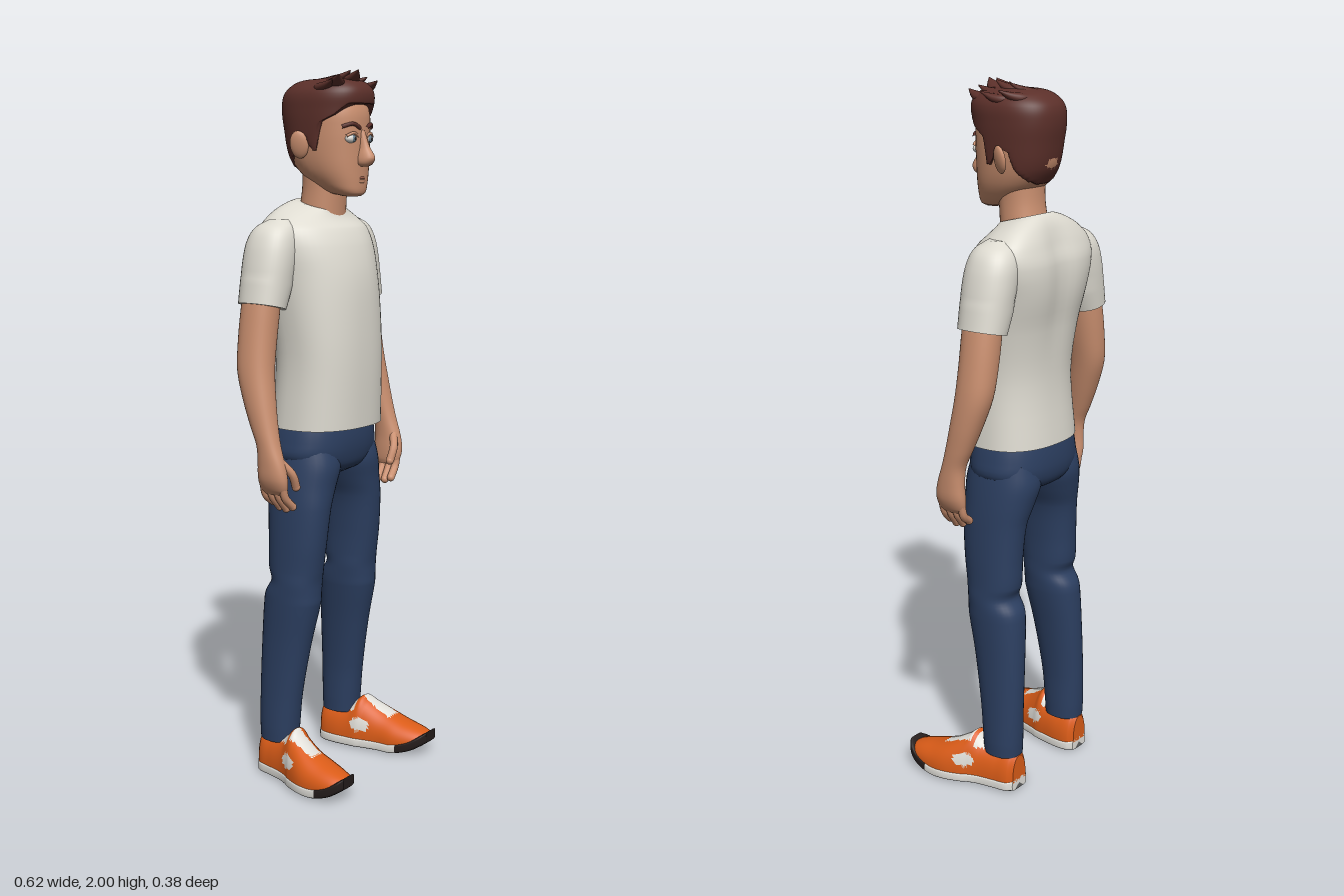
import * as THREE from 'three';

const mat = (name, color) => {
  const m = new THREE.MeshStandardMaterial({ color });
  m.name = name;
  return m;
};

// Lofts ellipse-like sections [along, cx, c2, rx, r2], listed in ascending order along 'y' or 'z'.
// warp moves each vertex, paint picks a material index per face.
function loft(rows, { n = 2.2, segs = 36, steps = 4, axis = 'y', warp, paint } = {}) {
  const slope = (i, k) => {
    const a = rows[Math.max(i - 1, 0)], b = rows[Math.min(i + 1, rows.length - 1)];
    return (b[k] - a[k]) / (b[0] - a[0]);
  };
  const rings = [];
  const addRing = (r) => {
    const ring = [];
    for (let j = 0; j < segs; j++) {
      const t = (j / segs) * Math.PI * 2, c = Math.cos(t), s = Math.sin(t);
      const u = r[1] + r[3] * Math.sign(c) * Math.abs(c) ** (2 / n);
      const w = r[4] * Math.sign(s) * Math.abs(s) ** (2 / n);
      const v = axis === 'y' ? new THREE.Vector3(u, r[0], r[2] + w) : new THREE.Vector3(u, r[2] - w, r[0]);
      if (warp) warp(v);
      ring.push(v);
    }
    rings.push(ring);
  };
  for (let i = 0; i < rows.length - 1; i++) {
    const p = rows[i], q = rows[i + 1], d = q[0] - p[0];
    for (let s = 0; s < steps; s++) {
      const t = s / steps, t2 = t * t, t3 = t2 * t;
      addRing(p.map((a, k) => (2 * t3 - 3 * t2 + 1) * a + (3 * t2 - 2 * t3) * q[k]
        + (t3 - 2 * t2 + t) * d * slope(i, k) + (t3 - t2) * d * slope(i + 1, k)));
    }
  }
  addRing(rows[rows.length - 1]);

  const verts = rings.flat(), buckets = [];
  const tri = (...f) => {
    const mid = new THREE.Vector3();
    f.forEach((i) => mid.addScaledVector(verts[i], 1 / 3));
    (buckets[paint ? paint(mid) : 0] ??= []).push(...f);
  };
  for (let i = 0; i < rings.length - 1; i++) for (let j = 0; j < segs; j++) {
    const a = i * segs + j, b = i * segs + (j + 1) % segs;
    tri(a, a + segs, b);
    tri(b, a + segs, b + segs);
  }
  // Flat caps with their own vertices, so hems stay crisp
  [rings[0], rings[rings.length - 1]].forEach((ring, top) => {
    const o = verts.length, mid = new THREE.Vector3();
    ring.forEach((v) => { verts.push(v.clone()); mid.addScaledVector(v, 1 / segs); });
    verts.push(mid);
    for (let j = 0; j < segs; j++) {
      const a = o + j, b = o + (j + 1) % segs;
      top ? tri(o + segs, b, a) : tri(o + segs, a, b);
    }
  });
  const g = new THREE.BufferGeometry().setFromPoints(verts), index = [];
  buckets.forEach((list, m) => {
    if (paint) g.addGroup(index.length, list.length, m);
    for (const i of list) index.push(i);
  });
  g.setIndex(index);
  g.computeVertexNormals();
  return g;
}

function mirrored(geo) {
  const g = geo.clone().scale(-1, 1, 1), ix = g.index.array;
  for (let i = 0; i < ix.length; i += 3) [ix[i], ix[i + 1]] = [ix[i + 1], ix[i]];
  return g;
}

const ball = (x, y, z, rx, ry, rz) => new THREE.SphereGeometry(1, 20, 14).scale(rx, ry, rz).translate(x, y, z);
const tube = (pts, r) => new THREE.TubeGeometry(
  new THREE.CatmullRomCurve3(pts.map((p) => new THREE.Vector3(...p))), 12, r, 10);

export function createModel() {
  const root = new THREE.Group();
  root.name = 'standingMan';
  const skin = mat('skin', 0xcb9070), lip = mat('lip', 0x9a5f4b), cotton = mat('shirtCotton', 0xdedbd1);
  const denim = mat('denim', 0x2c3f61), brown = mat('hairBrown', 0x5c302a), orange = mat('shoeOrange', 0xdb5c18);
  const white = mat('white', 0xe2e0da), black = mat('toeBlack', 0x241c1b), grey = mat('soleGrey', 0x626262);
  const iris = mat('iris', 0x6d8290);
  const add = (name, geo, m) => {
    const mesh = new THREE.Mesh(geo, m);
    mesh.name = name;
    root.add(mesh);
  };
  const pair = (name, geo, m) => {
    add(name + 'Left', geo, m);
    add(name + 'Right', mirrored(geo), m);
  };

  // Shirt: shoulders swept back, a groove down the spine, collar lower in front
  add('shirtBody', loft([
    [1.025, 0, -0.04, 0.17, 0.135], [1.2, 0, -0.03, 0.162, 0.13], [1.35, 0, -0.037, 0.17, 0.134],
    [1.45, 0, -0.05, 0.18, 0.138], [1.53, 0, -0.061, 0.192, 0.128], [1.58, 0, -0.066, 0.185, 0.108],
    [1.61, 0, -0.068, 0.15, 0.088], [1.635, 0, -0.064, 0.1, 0.07], [1.645, 0, -0.058, 0.073, 0.063],
  ], { n: 2.4, segs: 56, warp: (v) => {
    const up = THREE.MathUtils.smoothstep(v.y, 1.2, 1.5), neck = THREE.MathUtils.smoothstep(v.y, 1.57, 1.645);
    if (v.z < -0.06) v.z += 0.012 * up * (1 - neck) * Math.exp(-((v.x / 0.045) ** 2));
    v.z -= up * 0.8 * v.x * v.x;
    v.y -= neck * 0.25 * (v.z + 0.06);
  } }), cotton);
  pair('sleeve', loft([
    [1.372, 0.226, -0.088, 0.058, 0.068], [1.44, 0.207, -0.088, 0.065, 0.072], [1.5, 0.192, -0.088, 0.068, 0.074],
    [1.55, 0.178, -0.088, 0.066, 0.07], [1.585, 0.165, -0.086, 0.055, 0.055], [1.605, 0.15, -0.084, 0.03, 0.03],
  ], { warp: (v) => { if (v.y < 1.45) v.y += (v.x - 0.226) * 0.22; } }), cotton);

  // Trousers: hips, then legs with a fold behind the knee
  add('hips', loft([
    [0.885, 0, -0.05, 0.04, 0.06], [0.905, 0, -0.053, 0.12, 0.1], [0.94, 0, -0.054, 0.17, 0.117],
    [0.99, 0, -0.052, 0.169, 0.121], [1.05, 0, -0.05, 0.155, 0.115],
  ], { n: 2.4 }), denim);
  pair('trouserLeg', loft([
    [0.105, 0.15, -0.098, 0.05, 0.057], [0.15, 0.15, -0.097, 0.051, 0.06], [0.25, 0.148, -0.092, 0.05, 0.066],
    [0.4, 0.14, -0.078, 0.055, 0.078], [0.52, 0.133, -0.062, 0.064, 0.088], [0.55, 0.132, -0.058, 0.065, 0.085],
    [0.585, 0.131, -0.047, 0.065, 0.075], [0.62, 0.13, -0.05, 0.064, 0.083], [0.7, 0.128, -0.046, 0.064, 0.09],
    [0.8, 0.12, -0.045, 0.067, 0.098], [0.86, 0.105, -0.05, 0.077, 0.106], [0.92, 0.09, -0.053, 0.084, 0.113],
    [0.98, 0.088, -0.055, 0.075, 0.1],
  ]), denim);

  // Arms, palms, fingers and thumbs
  pair('arm', loft([
    [0.865, 0.266, -0.015, 0.012, 0.035], [0.88, 0.27, -0.015, 0.02, 0.044], [0.91, 0.275, -0.015, 0.026, 0.047],
    [0.95, 0.277, -0.018, 0.027, 0.042], [1.0, 0.276, -0.028, 0.029, 0.035], [1.05, 0.273, -0.045, 0.034, 0.039],
    [1.12, 0.267, -0.066, 0.041, 0.046], [1.2, 0.258, -0.085, 0.046, 0.053], [1.28, 0.245, -0.09, 0.049, 0.054],
    [1.37, 0.23, -0.09, 0.05, 0.054], [1.43, 0.22, -0.088, 0.048, 0.052],
  ]), skin);
  const digit = (name, pts, r) => {
    pair(name, tube(pts, r), skin);
    pair(name + 'Tip', ball(...pts[pts.length - 1], r, r, r), skin);
  };
  [-0.049, -0.027, -0.004, 0.018].forEach((z, i) => {
    const tip = [0.835, 0.823, 0.82, 0.828][i];
    digit('finger' + (i + 1), [[0.273, 0.89, z], [0.263, 0.857, z], [0.236, tip, z + 0.004]], 0.0115);
  });
  digit('thumb', [[0.268, 0.955, 0.008], [0.243, 0.92, 0.027], [0.225, 0.882, 0.026]], 0.012);

  // Shoes: upper with white patches, sole curving up at the toe
  const floor = (z) => (z > 0.09 ? 4 * (z - 0.09) ** 2 : 0);
  const shoe = [
    [-0.156, 0.15, 0.035, 0.03, 0.07], [-0.14, 0.15, 0.03, 0.046, 0.09], [-0.1, 0.152, 0.03, 0.053, 0.09],
    [-0.05, 0.16, 0.03, 0.056, 0.1], [-0.02, 0.168, 0.03, 0.06, 0.124], [0, 0.177, 0.03, 0.063, 0.11],
    [0.05, 0.192, 0.03, 0.066, 0.082], [0.1, 0.197, 0.03, 0.064, 0.063], [0.15, 0.203, 0.033, 0.053, 0.046],
    [0.18, 0.206, 0.038, 0.039, 0.03], [0.194, 0.208, 0.045, 0.022, 0.012],
  ];
  pair('shoeUpper', loft(shoe, { axis: 'z', segs: 56, steps: 6,
    warp: (v) => { v.y = Math.max(v.y, 0.025 + floor(v.z)); },
    paint: (p) => {
      const laces = p.z > -0.02 && p.z < 0.072 && Math.abs(p.x - 0.185 - 0.1 * p.z) < 0.024 && p.y > 0.08;
      const side = ((p.z + 0.008) / 0.03) ** 2 + ((p.y - 0.075) / 0.02) ** 2 < 1;
      const collar = p.y > 0.112 && p.z < -0.03;
      return laces || side || collar ? 1 : 0;
    } }), [orange, white]);
  pair('shoeSole', loft(shoe.map(([z, cx, , rx]) => [z, cx, 0.017 + floor(z), rx + 0.003, 0.017]), {
    axis: 'z', n: 5, segs: 40,
    paint: (p) => (p.z > 0.11 ? 1 : p.y < 0.006 + floor(p.z) ? 2 : 0),
  }), [white, black, grey]);

  // Head and neck
  add('neck', loft([
    [1.57, 0, -0.058, 0.068, 0.064], [1.63, 0, -0.052, 0.066, 0.062], [1.69, 0, -0.045, 0.063, 0.06],
    [1.76, 0, -0.042, 0.065, 0.062],
  ]), skin);
  add('head', loft([
    [1.667, 0, 0.05, 0.022, 0.022], [1.676, 0, 0.035, 0.046, 0.046], [1.7, 0, 0.01, 0.066, 0.074],
    [1.74, 0, -0.015, 0.084, 0.1], [1.79, 0, -0.03, 0.093, 0.116], [1.85, 0, -0.032, 0.096, 0.119],
    [1.9, 0, -0.033, 0.094, 0.116], [1.95, 0, -0.033, 0.072, 0.088], [1.97, 0, -0.033, 0.03, 0.04],
  ], { n: 2.3, segs: 48 }), skin);
  add('nose', loft([
    [1.747, 0, 0.09, 0.008, 0.012], [1.754, 0, 0.089, 0.019, 0.026], [1.772, 0, 0.088, 0.02, 0.036],
    [1.8, 0, 0.084, 0.013, 0.023], [1.845, 0, 0.078, 0.01, 0.012],
  ], { segs: 20 }), skin);
  pair('ear', ball(0, 0, 0, 0.011, 0.038, 0.026).rotateY(-0.4).rotateZ(-0.2).translate(0.106, 1.806, -0.052), skin);
  pair('eyeWhite', ball(0.039, 1.822, 0.073, 0.02, 0.013, 0.014), white);
  pair('iris', ball(0.038, 1.822, 0.0835, 0.0085, 0.0095, 0.005), iris);
  pair('pupil', ball(0.038, 1.822, 0.0865, 0.004, 0.0045, 0.003), black);
  pair('upperLid', tube([[0.018, 1.828, 0.083], [0.038, 1.837, 0.084], [0.06, 1.828, 0.074]], 0.004), skin);
  pair('eyebrow', tube([[0.014, 1.85, 0.087], [0.04, 1.861, 0.083], [0.068, 1.853, 0.064]], 0.0055), brown);
  add('mouth', tube([[-0.028, 1.715, 0.073], [0, 1.717, 0.084], [0.028, 1.715, 0.073]], 0.0035), lip);
  add('lowerLip', tube([[-0.02, 1.709, 0.076], [0, 1.707, 0.083], [0.02, 1.709, 0.076]], 0.005), skin);

  // Hair cap trimmed along a hairline given as [z, y]
  const line = [[-0.2, 1.73], [-0.12, 1.73], [-0.085, 1.78], [-0.07, 1.83], [-0.03, 1.83], [-0.018, 1.79],
    [0, 1.79], [0.012, 1.865], [0.05, 1.885], [0.08, 1.915], [0.2, 1.92]];
  const hairline = (z) => {
    const i = line.findIndex((p) => p[0] > z), [a, b] = [line[i - 1], line[i]];
    return a[1] + (b[1] - a[1]) * (z - a[0]) / (b[0] - a[0]);
  };
  add('hairCap', loft([
    [1.73, 0, -0.034, 0.085, 0.078], [1.78, 0, -0.035, 0.098, 0.107], [1.85, 0, -0.035, 0.105, 0.122],
    [1.9, 0, -0.035, 0.107, 0.129], [1.94, 0, -0.03, 0.104, 0.129], [1.965, 0, -0.025, 0.088, 0.112],
    [1.98, 0, -0.022, 0.06, 0.08], [1.986, 0, -0.02, 0.015, 0.02],
  ], { n: 2.3, segs: 72, steps: 6, warp: (v) => { v.y = Math.max(v.y, hairline(v.z)); } }), brown);

  // Overlapping locks swept forward across the crown
  const lock = loft([
    [0, 0, 0, 0.014, 0.008], [0.03, 0, 0.004, 0.025, 0.014], [0.06, 0, 0, 0.018, 0.011], [0.09, 0, -0.012, 0.002, 0.002],
  ], { segs: 14 });
  for (let r = 0; r < 4; r++) for (let c = -1; c <= 1; c++) {
    const x = c * 0.048 + (r % 2 ? 0.012 : -0.012), z = -0.105 + r * 0.04;
    add('hairLock', lock.clone().rotateX(1.42 + 0.1 * Math.abs(c)).rotateY(0.55 - 0.35 * r + 0.3 * c)
      .translate(x, 1.977 - 5 * x * x - (r === 0 ? 0.006 : 0), z), brown);
  }
  return root;
}
